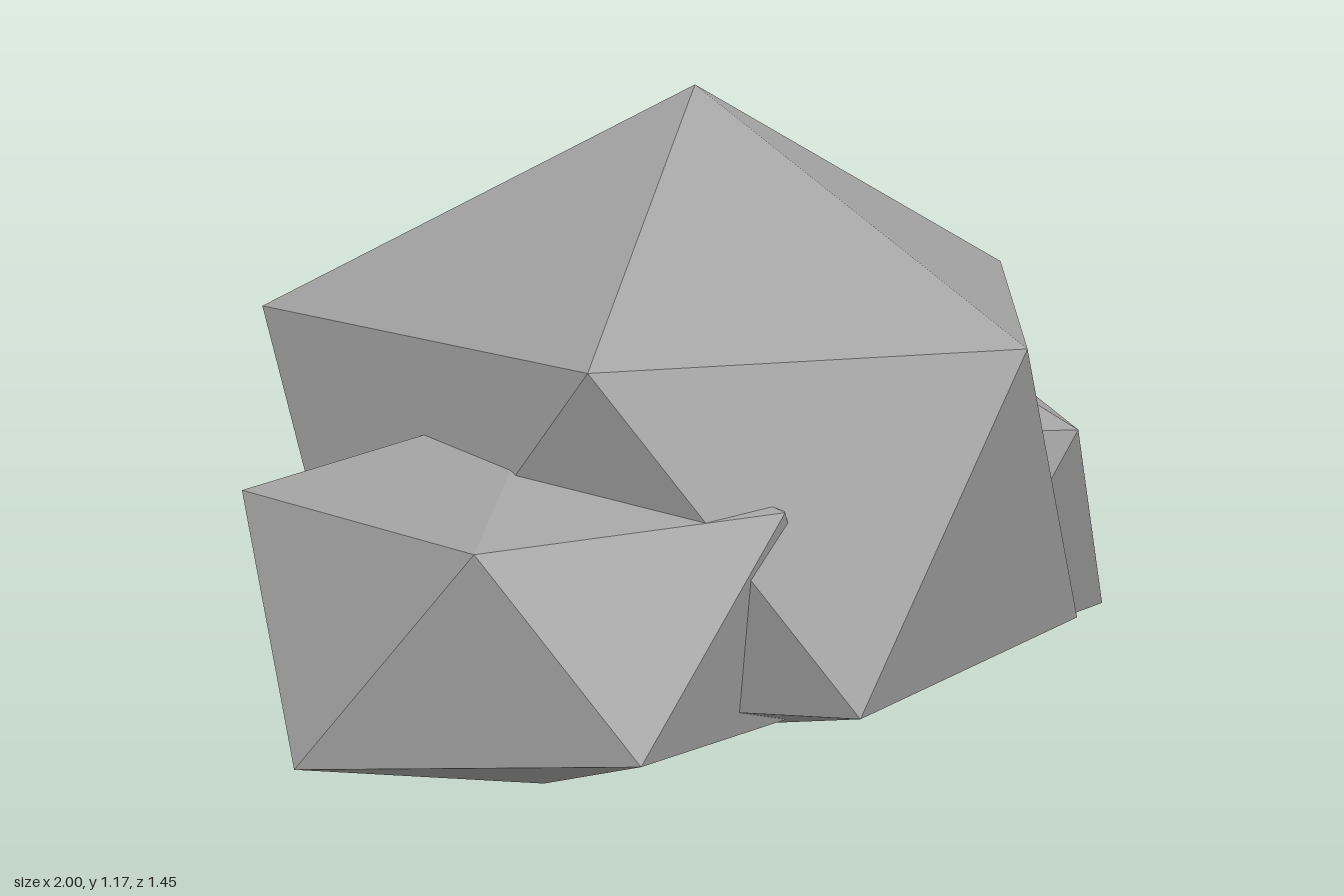
import * as THREE from 'three';

// Twenty-sided boulder: top point, five upper corners, five lower corners, bottom point.
// Ring corners run from +x towards +z; lower corner i sits between upper corners i and i + 1.
function boulder(name, material, { top, upper, lower, bottom }) {
  const corners = [];
  for (let i = 0; i < 5; i++) {
    const j = (i + 1) % 5;
    corners.push(
      top, upper[j], upper[i],
      upper[i], upper[j], lower[i],
      lower[i], upper[j], lower[j],
      bottom, lower[i], lower[j]
    );
  }
  const geometry = new THREE.BufferGeometry();
  geometry.setAttribute('position', new THREE.Float32BufferAttribute(corners.flat(), 3));
  geometry.computeVertexNormals(); // unshared corners give flat facets
  const mesh = new THREE.Mesh(geometry, material);
  mesh.name = name;
  return mesh;
}

export function createModel() {
  const stone = new THREE.MeshStandardMaterial({ color: 0xa0a0a0, flatShading: true });
  stone.name = 'grey stone';

  const group = new THREE.Group();
  group.name = 'rockCluster';

  // Large central rock
  group.add(boulder('mainRock', stone, {
    top: [-0.01, 1.17, 0.03],
    upper: [[0.77, 0.79, 0.02], [0.2, 0.745, 0.66], [-0.59, 0.755, 0.44], [-0.63, 0.78, -0.43], [0.23, 0.79, -0.73]],
    lower: [[0.56, 0.19, 0.44], [-0.24, 0.175, 0.72], [-0.74, 0.17, 0.01], [-0.22, 0.2, -0.62], [0.57, 0.19, -0.42]],
    bottom: [-0.01, 0, 0.03],
  }));

  // Small rock on the -x side
  group.add(boulder('rightRock', stone, {
    top: [-0.48, 0.67, 0.18],
    upper: [[-0.02, 0.5, 0.18], [-0.31, 0.515, 0.61], [-0.81, 0.48, 0.42], [-0.89, 0.52, -0.12], [-0.33, 0.5, -0.28]],
    lower: [[-0.07, 0.13, 0.47], [-0.62, 0.135, 0.61], [-1, 0.11, 0.18], [-0.62, 0.1, -0.27], [-0.1, 0.13, -0.12]],
    bottom: [-0.48, 0, 0.18],
  }));

  // Small rock on the +x side
  group.add(boulder('leftRock', stone, {
    top: [0.54, 0.73, -0.13],
    upper: [[1, 0.5, -0.13], [0.68, 0.51, 0.32], [0.16, 0.53, 0.15], [0.15, 0.53, -0.41], [0.71, 0.535, -0.66]],
    lower: [[0.93, 0.12, 0.15], [0.38, 0.115, 0.3], [0.03, 0.12, -0.13], [0.37, 0.1, -0.65], [0.89, 0.14, -0.4]],
    bottom: [0.54, 0, -0.13],
  }));

  return group;
}
